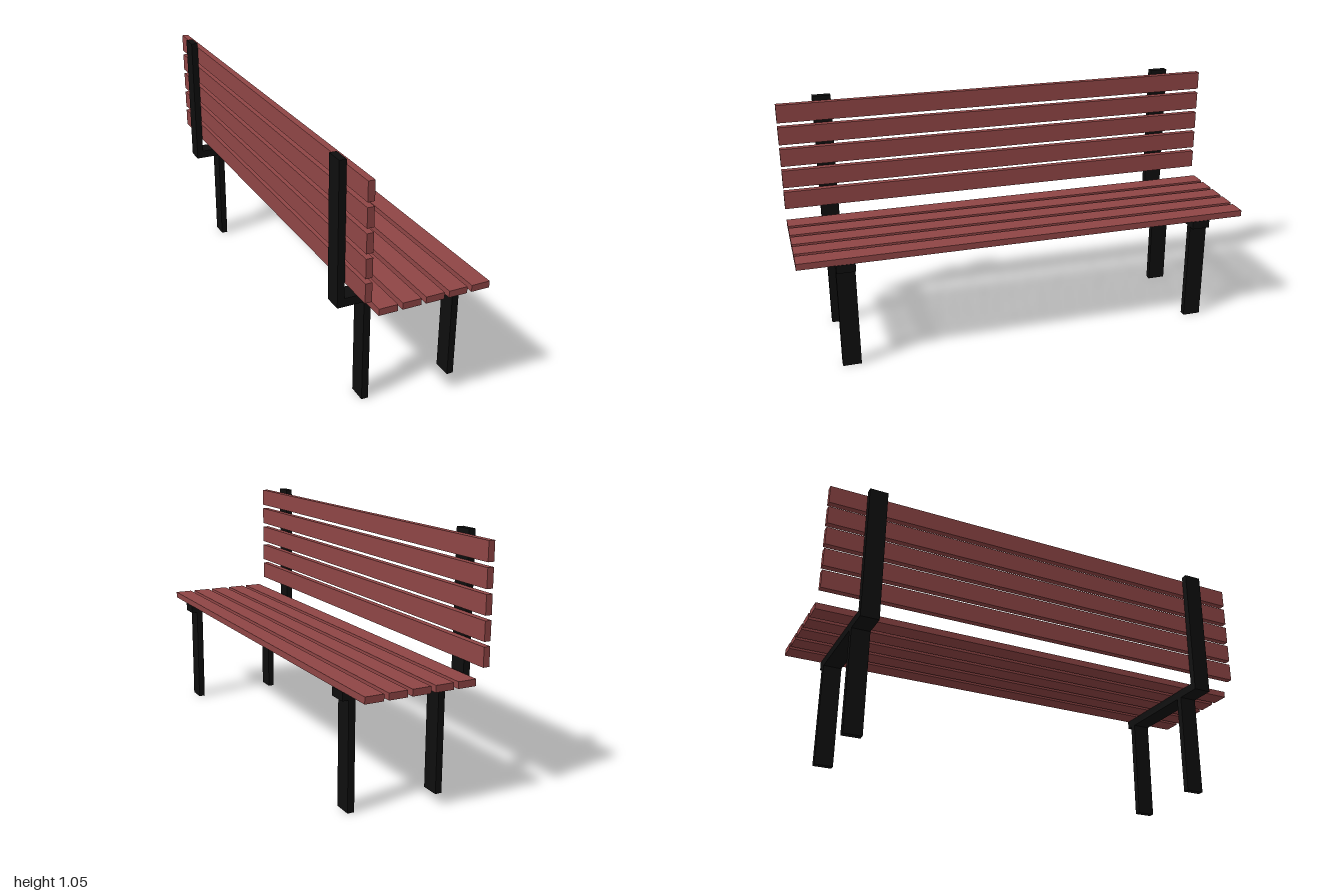
import * as THREE from 'three';

const wood = new THREE.MeshStandardMaterial({ color: 0x8f4545 });
const iron = new THREE.MeshStandardMaterial({ color: 0x0e0e0e });

// Box given by its extents along each axis
function bar(name, material, [x0, x1], [y0, y1], [z0, z1]) {
  const mesh = new THREE.Mesh(new THREE.BoxGeometry(x1 - x0, y1 - y0, z1 - z0), material);
  mesh.position.set((x0 + x1) / 2, (y0 + y1) / 2, (z0 + z1) / 2);
  mesh.name = name;
  return mesh;
}

// One metal support: back post, seat rail and two legs
function supportFrame(name, z) {
  const frame = new THREE.Group();
  frame.name = name;
  const depth = [z - 0.04, z + 0.04];
  frame.add(
    bar('backPost', iron, [-0.285, -0.255], [0.452, 1.055], depth),
    bar('seatRail', iron, [-0.255, 0.285], [0.452, 0.488], depth),
    bar('rearLeg', iron, [-0.171, -0.142], [0, 0.452], depth),
    bar('frontLeg', iron, [0.229, 0.258], [0, 0.452], depth),
  );
  return frame;
}

export function createModel() {
  const bench = new THREE.Group();
  bench.name = 'bench';
  bench.add(supportFrame('supportFrameA', 0.8), supportFrame('supportFrameB', -0.8));

  // Five seat slats and five backrest slats running the full length
  const length = [-1, 1];
  const seat = new THREE.Group();
  seat.name = 'seat';
  const backrest = new THREE.Group();
  backrest.name = 'backrest';
  for (let i = 0; i < 5; i++) {
    const x = -0.197 + i * 0.1;
    const y = 0.555 + i * 0.1;
    seat.add(bar(`seatSlat${i + 1}`, wood, [x, x + 0.08], [0.488, 0.516], length));
    backrest.add(bar(`backSlat${i + 1}`, wood, [-0.255, -0.227], [y, y + 0.08], length));
  }
  bench.add(seat, backrest);
  return bench;
}
